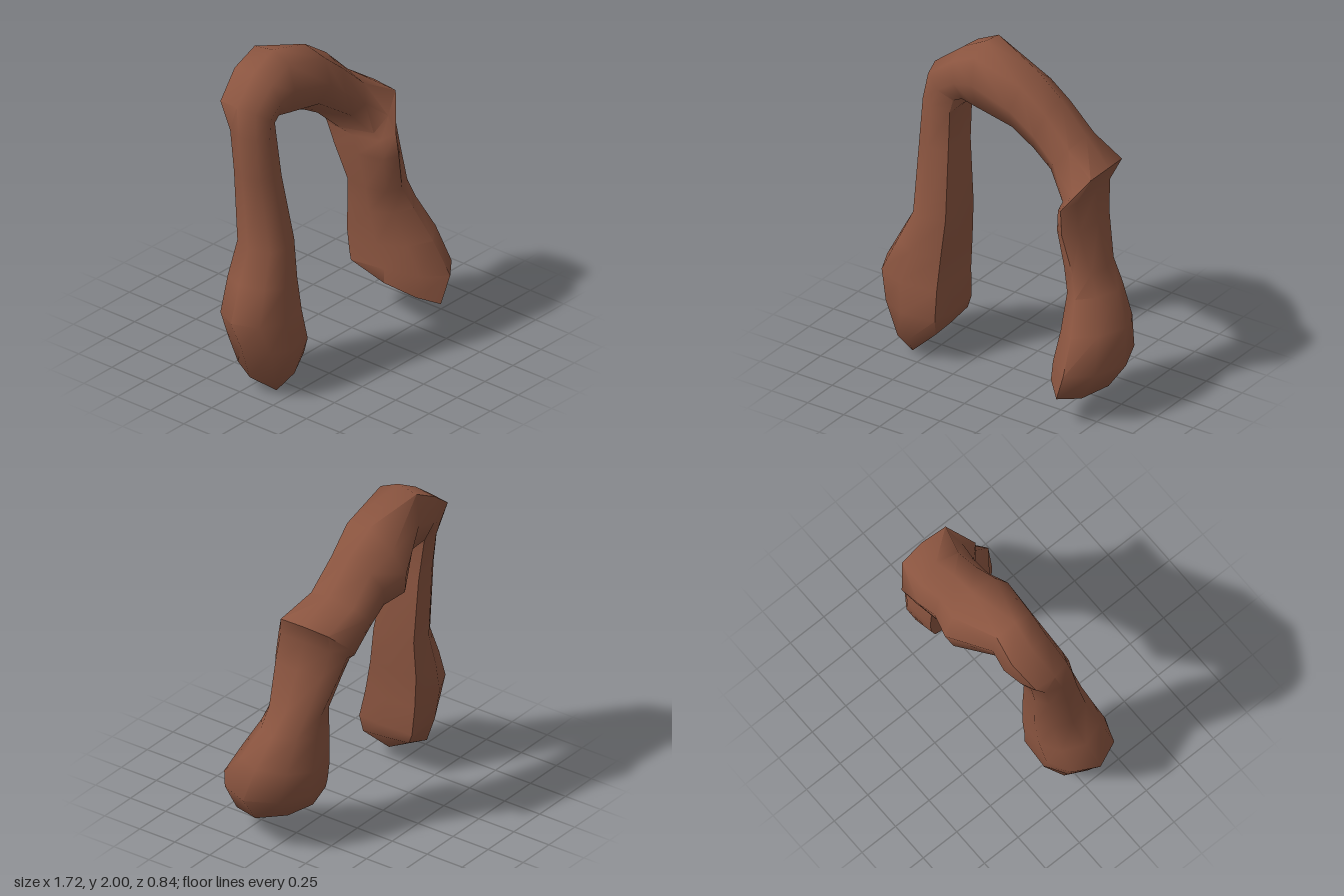
import * as THREE from 'three';
import { toCreasedNormals } from 'three/addons/utils/BufferGeometryUtils.js';

// Eight-sided outlines, as [outward, forward] fractions of the half sizes,
// running outer, front, inner, back
const rightLeg = [[1, 0], [0.7, 0.74], [0, 1], [-0.95, 0.72], [-1, 0], [-0.95, -0.92], [0, -1], [0.65, -0.68]];
const bend = [[1, 0], [0.75, 0.75], [0, 1], [-0.7, 0.75], [-1, -0.2], [-0.75, -0.75], [0, -1], [0.9, -0.85]];
const span = [[1, 0], [0.72, 0.7], [0, 1], [-0.62, 0.72], [-1, -0.35], [-0.75, -0.85], [0, -1], [0.55, -0.66]];
const elbow = [[1, 0.1], [0.92, 0.85], [0, 1], [-0.75, 0.85], [-1, -0.2], [-0.75, -0.85], [0, -1], [0.85, -0.62]];
const leftShank = [[1, 0], [0.8, 0.74], [0, 1], [-0.7, 0.74], [-1, 0], [-0.85, -0.85], [0, -1], [0.7, -0.7]];
const leftFoot = [[1, 0], [0.62, 0.64], [0, 1], [-0.62, 0.65], [-1, 0], [-0.88, -0.93], [0, -1], [0.66, -0.66]];

// Cross-sections: outline, outer x, y, inner x, y, front z, back z, lift of the back edge
const sections = [
  // right foot and leg
  [rightLeg, -0.72, 0.10, -0.40, 0.20, 0.25, -0.15, 0.02],
  [rightLeg, -0.80, 0.33, -0.39, 0.28, 0.28, -0.18, 0],
  [rightLeg, -0.86, 0.50, -0.40, 0.46, 0.24, -0.19, 0],
  [rightLeg, -0.76, 0.70, -0.40, 0.66, 0.20, -0.20, 0],
  [rightLeg, -0.66, 0.89, -0.39, 0.90, 0.16, -0.19, 0],
  [rightLeg, -0.66, 1.35, -0.42, 1.30, 0.08, -0.20, 0],
  [rightLeg, -0.655, 1.60, -0.43, 1.55, 0.05, -0.23, 0],
  // arch
  [bend, -0.63, 1.77, -0.39, 1.60, 0.03, -0.28, 0],
  [bend, -0.45, 1.91, -0.36, 1.60, 0.02, -0.32, 0],
  [bend, -0.29, 2.00, -0.27, 1.56, 0.02, -0.30, 0],
  [span, 0.05, 1.88, -0.04, 1.47, 0.05, -0.42, -0.04],
  [span, 0.22, 1.76, 0.10, 1.41, 0.03, -0.37, 0],
  [span, 0.40, 1.58, 0.22, 1.34, 0.05, -0.37, 0],
  [elbow, 0.585, 1.45, 0.35, 1.21, 0.09, -0.36, 0],
  // left leg and foot
  [leftShank, 0.53, 1.31, 0.355, 1.19, 0.17, -0.32, 0],
  [leftShank, 0.56, 1.12, 0.355, 1.08, 0.18, -0.27, 0],
  [leftShank, 0.64, 0.86, 0.39, 0.85, 0.155, -0.19, 0],
  [leftFoot, 0.73, 0.74, 0.40, 0.70, 0.20, -0.19, 0],
  [leftFoot, 0.82, 0.55, 0.40, 0.50, 0.31, -0.20, 0],
  [leftFoot, 0.86, 0.34, 0.40, 0.36, 0.42, -0.19, 0.02],
  [leftFoot, 0.74, 0.17, 0.40, 0.27, 0.40, -0.17, 0.06],
];
const tips = [[-0.6, 0, 0.15], [0.6, 0.13, 0.27]];
const SIDES = 8;

// Lofts a closed skin through the sections, with a pointed cap at each end
function loft() {
  const pos = [], index = [];
  for (const [outline, ox, oy, ix, iy, zf, zb, lift] of sections) {
    for (const [c, s] of outline) {
      pos.push(
        (ox + ix) / 2 + ((ox - ix) / 2) * c,
        (oy + iy) / 2 + ((oy - iy) / 2) * c - lift * s,
        (zf + zb) / 2 + ((zf - zb) / 2) * s
      );
    }
  }
  const n = sections.length, first = n * SIDES;
  pos.push(...tips[0], ...tips[1]);
  for (let j = 0; j < SIDES; j++) {
    const k = (j + 1) % SIDES, end = (n - 1) * SIDES;
    for (let i = 0; i < n - 1; i++) {
      const r = i * SIDES, q = r + SIDES;
      index.push(r + j, r + k, q + k, r + j, q + k, q + j);
    }
    index.push(first, k, j, first + 1, end + j, end + k);
  }
  const geo = new THREE.BufferGeometry();
  geo.setAttribute('position', new THREE.Float32BufferAttribute(pos, 3));
  geo.setIndex(index);
  return toCreasedNormals(geo, 1.1);
}

export function createModel() {
  const group = new THREE.Group();
  group.name = 'rockArch';
  const rock = new THREE.MeshStandardMaterial({ color: 0x8b5540 });
  rock.name = 'reddish brown';
  const arch = new THREE.Mesh(loft(), rock);
  arch.name = 'arch';
  group.add(arch);
  return group;
}
